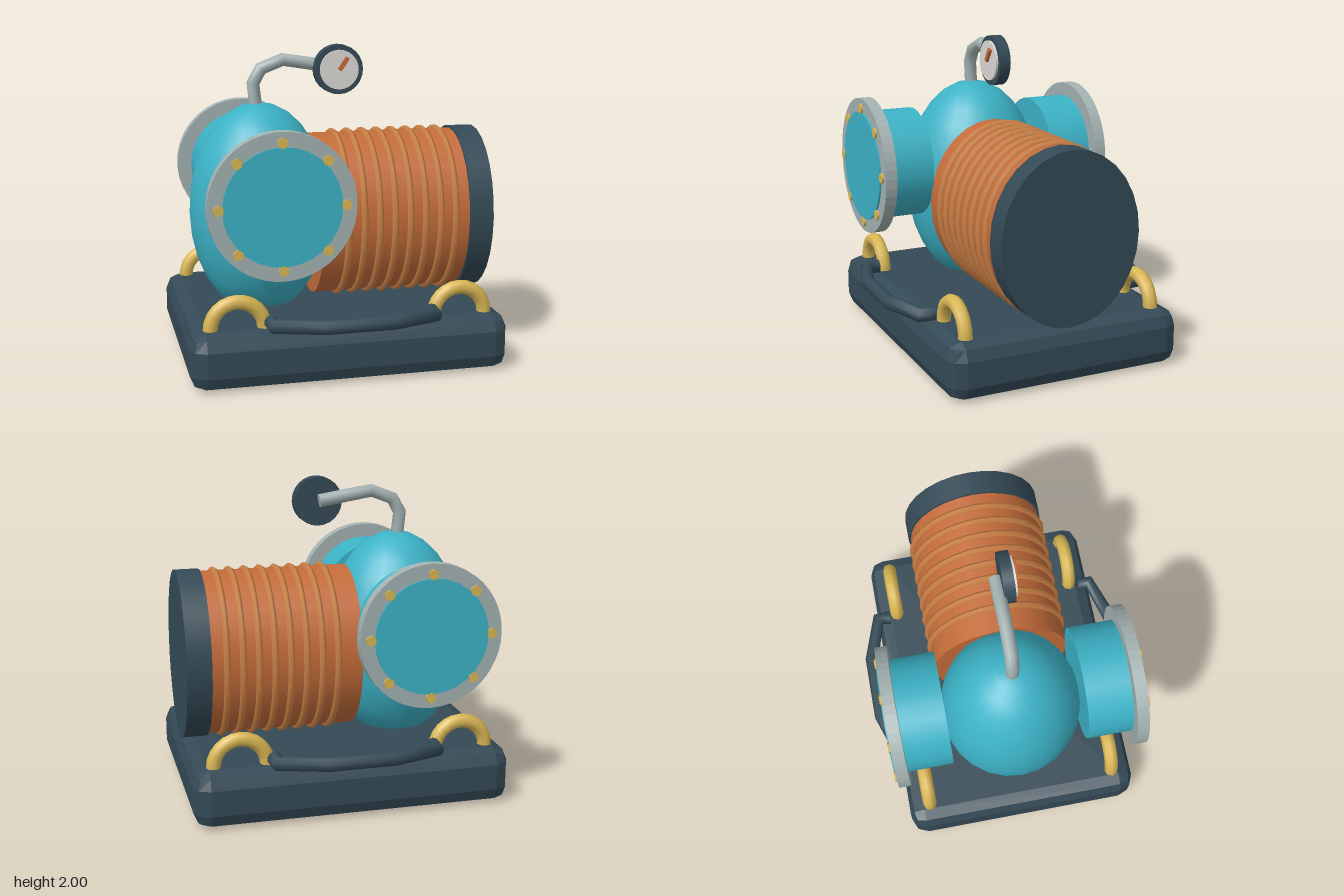
import * as THREE from 'three';
import { RoundedBoxGeometry } from 'three/addons/geometries/RoundedBoxGeometry.js';

const paint = (name, color, extra = {}) => {
  const m = new THREE.MeshStandardMaterial({ color, ...extra });
  m.name = name;
  return m;
};

export function createModel() {
  const model = new THREE.Group();
  model.name = 'pump';
  const slate = paint('slate', 0x344a56);
  const slateFlat = paint('slate faceted', 0x344a56, { flatShading: true });
  const teal = paint('teal', 0x3cb2c6);
  const copper = paint('copper', 0xc46c3a);
  const rib = paint('light copper', 0xcb8045);
  const steel = paint('steel', 0xa3b2b1);
  const brass = paint('brass', 0xdab755);
  const ivory = paint('ivory', 0xdcdad5);

  const add = (name, geometry, material, x = 0, y = 0, z = 0, parent = model) => {
    const mesh = new THREE.Mesh(geometry, material);
    mesh.name = name;
    mesh.position.set(x, y, z);
    parent.add(mesh);
    return mesh;
  };
  // Cylinders lying along z or x
  const discZ = (r, depth, sides) => new THREE.CylinderGeometry(r, r, depth, sides).rotateX(Math.PI / 2);
  const drumX = (ry, rz, length) =>
    new THREE.CylinderGeometry(1, 1, length, 28).rotateZ(Math.PI / 2).scale(1, ry, rz);

  // Bent pipe with one ring at each given point and closed ends
  const pipe = (name, points, radius, material) => {
    const group = new THREE.Group();
    group.name = name;
    const pts = points.map((p) => new THREE.Vector3(...p));
    const curve = new THREE.CatmullRomCurve3(pts);
    curve.getPointAt = curve.getPoint;
    curve.getTangentAt = curve.getTangent;
    add(name + 'Tube', new THREE.TubeGeometry(curve, pts.length - 1, radius, 10), material, 0, 0, 0, group);
    for (const t of [0, 1]) {
      const out = curve.getTangent(t).multiplyScalar(t ? 1 : -1);
      const end = add(name + 'End', new THREE.CircleGeometry(radius, 10), material, 0, 0, 0, group);
      end.position.copy(curve.getPoint(t));
      end.quaternion.setFromUnitVectors(new THREE.Vector3(0, 0, 1), out);
    }
    model.add(group);
  };

  // Base plinth
  add('base', new RoundedBoxGeometry(2, 0.36, 1.54, 1, 0.1), slateFlat, 0, 0.18, 0);

  // Egg-shaped pump body
  add('body', new THREE.SphereGeometry(0.45, 24, 14).scale(1, 0.69 / 0.45, 1), teal, -0.45, 0.95, 0);

  // Ribbed motor drum with end cap
  const axisY = 0.905;
  add('motorDrum', drumX(0.525, 0.44, 0.97), copper, 0.365, axisY, 0);
  add('motorCap', drumX(0.54, 0.455, 0.155), slate, 0.907, axisY, 0);
  const ribGeometry = new THREE.TorusGeometry(0.44, 0.023, 6, 28).rotateY(Math.PI / 2).scale(1, 1.185, 1);
  for (let i = 0; i < 8; i++) add('coolingRib', ribGeometry, rib, 0.04 + i * 0.0995, axisY, 0);

  // Flange ring, centred on its own thickness
  const ringShape = new THREE.Shape().absarc(0, 0, 0.445, 0, Math.PI * 2);
  ringShape.holes.push(new THREE.Path().absarc(0, 0, 0.34, 0, Math.PI * 2, true));
  const ringGeometry = new THREE.ExtrudeGeometry(ringShape, { depth: 0.075, bevelEnabled: false, curveSegments: 24 });
  ringGeometry.translate(0, 0, -0.0375);
  const boltGeometry = discZ(0.034, 0.04, 6);

  // Arched lifting lug
  const lugGeometry = new THREE.TorusGeometry(0.165, 0.046, 8, 12, Math.PI);

  for (const side of [1, -1]) {
    // Flanged port with eight bolts
    const port = new THREE.Group();
    port.name = side > 0 ? 'frontPort' : 'backPort';
    port.position.set(-0.445, 1.125, 0);
    model.add(port);
    add('portTube', discZ(0.357, 0.37, 28), teal, 0, 0, side * 0.612, port);
    add('portFlange', ringGeometry, steel, 0, 0, side * 0.748, port);
    for (let i = 0; i < 8; i++) {
      const a = (i * Math.PI) / 4;
      add('flangeBolt', boltGeometry, brass, 0.38 * Math.cos(a), 0.38 * Math.sin(a), side * 0.78, port);
    }

    // Lugs and side handle
    for (const x of [-0.7, 0.7]) add('liftingLug', lugGeometry, brass, x, 0.36, side * 0.627);
    const bend = [[-0.5, 0.68], [-0.5, 0.765], [-0.21, 0.855], [0.21, 0.855], [0.5, 0.765], [0.5, 0.68]];
    pipe('sideHandle', bend.map(([x, z]) => [x, 0.402, side * z]), 0.046, slate);
  }

  // Gauge pipe rising from the body
  pipe('gaugePipe', [
    [-0.46, 1.57, 0], [-0.48, 1.76, 0], [-0.43, 1.85, 0],
    [-0.29, 1.905, 0], [-0.1, 1.875, 0], [0.055, 1.85, 0],
  ], 0.042, steel);

  // Pressure gauge
  const gauge = new THREE.Group();
  gauge.name = 'gauge';
  gauge.position.set(0.055, 1.843, 0);
  model.add(gauge);
  add('gaugeCase', discZ(0.157, 0.07, 24), slate, 0, 0, 0.062, gauge);
  add('gaugeFace', discZ(0.125, 0.02, 24), ivory, 0, 0, 0.102, gauge);
  const needle = add('gaugeNeedle', new THREE.BoxGeometry(0.027, 0.095, 0.02), copper, 0.025, 0.038, 0.12, gauge);
  needle.rotation.z = -0.6;

  return model;
}
